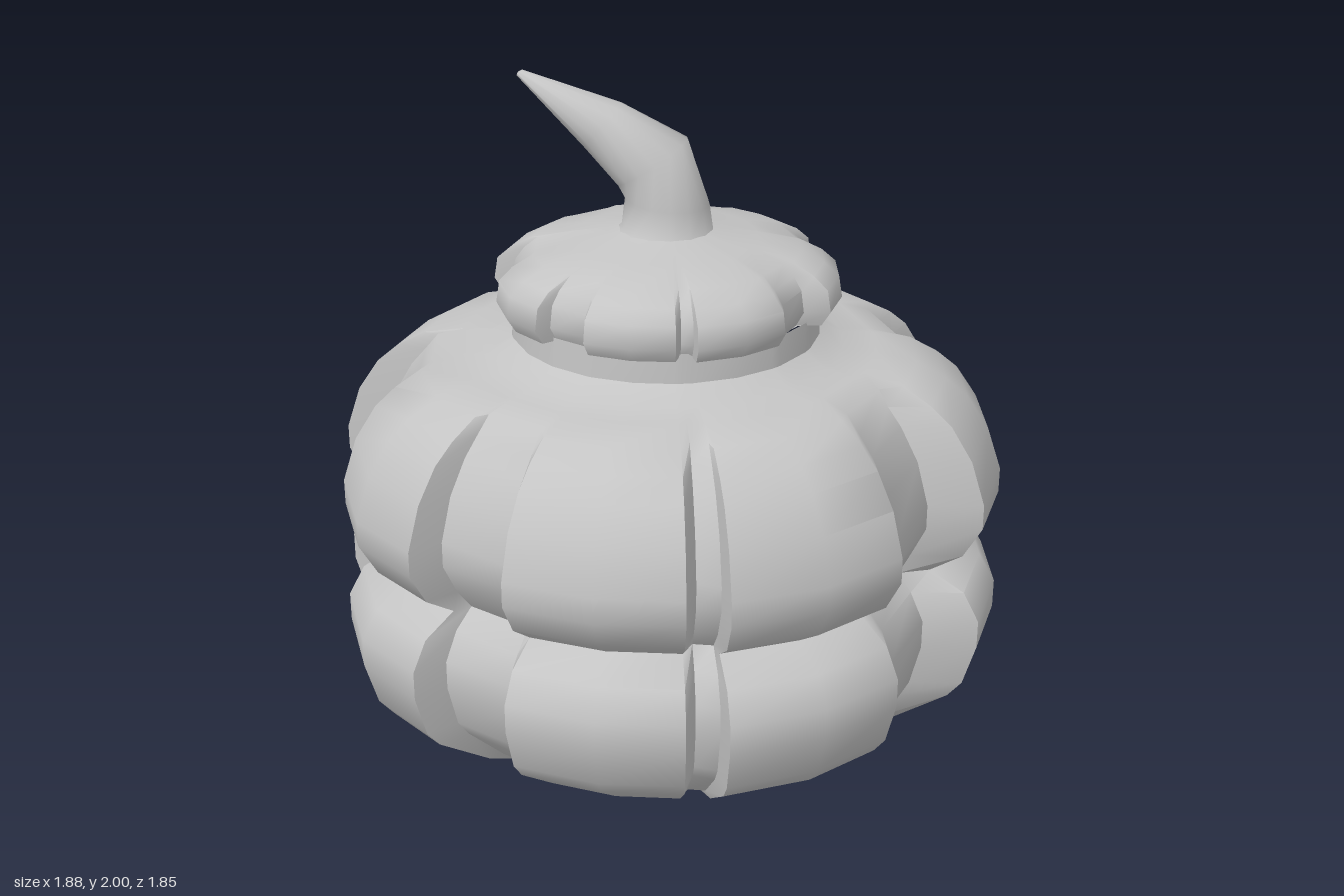
import * as THREE from 'three';
import { toCreasedNormals } from 'three/addons/utils/BufferGeometryUtils.js';

// Lobed outline seen from above, as [x, z] points running from +x towards +z
const outline = [
  [0.94, 0], [0.90, 0.25], [0.75, 0.27], [0.68, 0.50], [0.70, 0.59], [0.53, 0.77], [0.30, 0.89],
  [0.265, 0.81], [0.20, 0.80], [0.19, 0.90], [-0.04, 0.92], [-0.28, 0.87], [-0.285, 0.78],
  [-0.48, 0.68], [-0.55, 0.75], [-0.73, 0.60], [-0.84, 0.35], [-0.78, 0.27], [-0.82, 0],
  [-0.935, -0.01], [-0.89, -0.26], [-0.79, -0.47], [-0.66, -0.49], [-0.48, -0.67],
  [-0.48, -0.78], [-0.27, -0.89], [-0.03, -0.93], [0, -0.83], [0.27, -0.79], [0.34, -0.87],
  [0.56, -0.76], [0.72, -0.60], [0.68, -0.49], [0.80, -0.25], [0.90, -0.24],
];

// Skin a stack of closed rings, all with the same number of points
function loft(rings, crease) {
  const n = rings[0].length, index = [];
  for (let i = 0; i < rings.length - 1; i++) {
    for (let j = 0; j < n; j++) {
      const a = i * n + j, b = i * n + (j + 1) % n;
      index.push(a, a + n, b, b, a + n, b + n);
    }
  }
  const geometry = new THREE.BufferGeometry();
  geometry.setAttribute('position', new THREE.Float32BufferAttribute(rings.flat(2), 3));
  geometry.setIndex(index);
  return toCreasedNormals(geometry, crease);
}

// Profile rows are [height, radius, lobe strength]; strength 0 gives a plain circle
function lobed(profile) {
  return loft(profile.map(([y, r, s]) => outline.map(([x, z]) => {
    const len = Math.hypot(x, z);
    const k = r * THREE.MathUtils.lerp(1, len / 0.935, s) / len;
    return [x * k, y, z * k];
  })), 0.9);
}

export function createModel() {
  const group = new THREE.Group();
  const grey = new THREE.MeshStandardMaterial({ color: 0xc4c4c4 });
  grey.name = 'grey';
  const add = (name, geometry) => {
    const mesh = new THREE.Mesh(geometry, grey);
    mesh.name = name;
    group.add(mesh);
  };

  // Two bulging tiers with a groove between them, rising to a narrow neck
  add('body', lobed([
    [0, 0, 0], [0, 0.13, 0], [0.07, 0.41, 0], [0.15, 0.56, 0.2], [0.21, 0.69, 0.6],
    [0.33, 0.86, 1], [0.38, 0.90, 1], [0.5, 0.935, 1], [0.58, 0.935, 1], [0.66, 0.89, 1],
    [0.71, 0.79, 0.6], [0.77, 0.88, 1], [0.86, 0.93, 1], [0.93, 0.93, 1], [1.05, 0.89, 1],
    [1.14, 0.83, 1], [1.19, 0.77, 0.9], [1.235, 0.69, 0.5], [1.255, 0.58, 0.1],
    [1.26, 0.49, 0], [1.30, 0.425, 0], [1.38, 0.42, 0],
  ]));

  // Small lobed cap overhanging the neck
  add('cap', lobed([
    [1.37, 0.40, 0], [1.37, 0.455, 0.9], [1.41, 0.48, 0.9], [1.47, 0.47, 0.9],
    [1.505, 0.43, 0.7], [1.535, 0.37, 0.3], [1.56, 0.25, 0], [1.575, 0.16, 0], [1.59, 0.1, 0],
  ]));

  // Bent stem: [inner x, inner y, outer x, outer y, half width in z]
  const sections = [
    [-0.15, 1.565, 0.16, 1.56, 0.15], [-0.12, 1.59, 0.13, 1.58, 0.125],
    [-0.11, 1.67, 0.12, 1.65, 0.115], [-0.13, 1.70, 0.06, 1.83, 0.105],
    [-0.22, 1.80, -0.12, 1.92, 0.075], [-0.40, 1.985, -0.385, 2.0, 0.01],
    [-0.395, 1.995, -0.395, 1.995, 0],
  ];
  add('stem', loft(sections.map(([x0, y0, x1, y1, w]) =>
    Array.from({ length: 14 }, (_, j) => {
      const a = j / 14 * Math.PI * 2, t = (1 + Math.cos(a)) / 2;
      return [x0 + (x1 - x0) * t, y0 + (y1 - y0) * t, Math.sin(a) * w];
    })), 1.2));

  return group;
}
